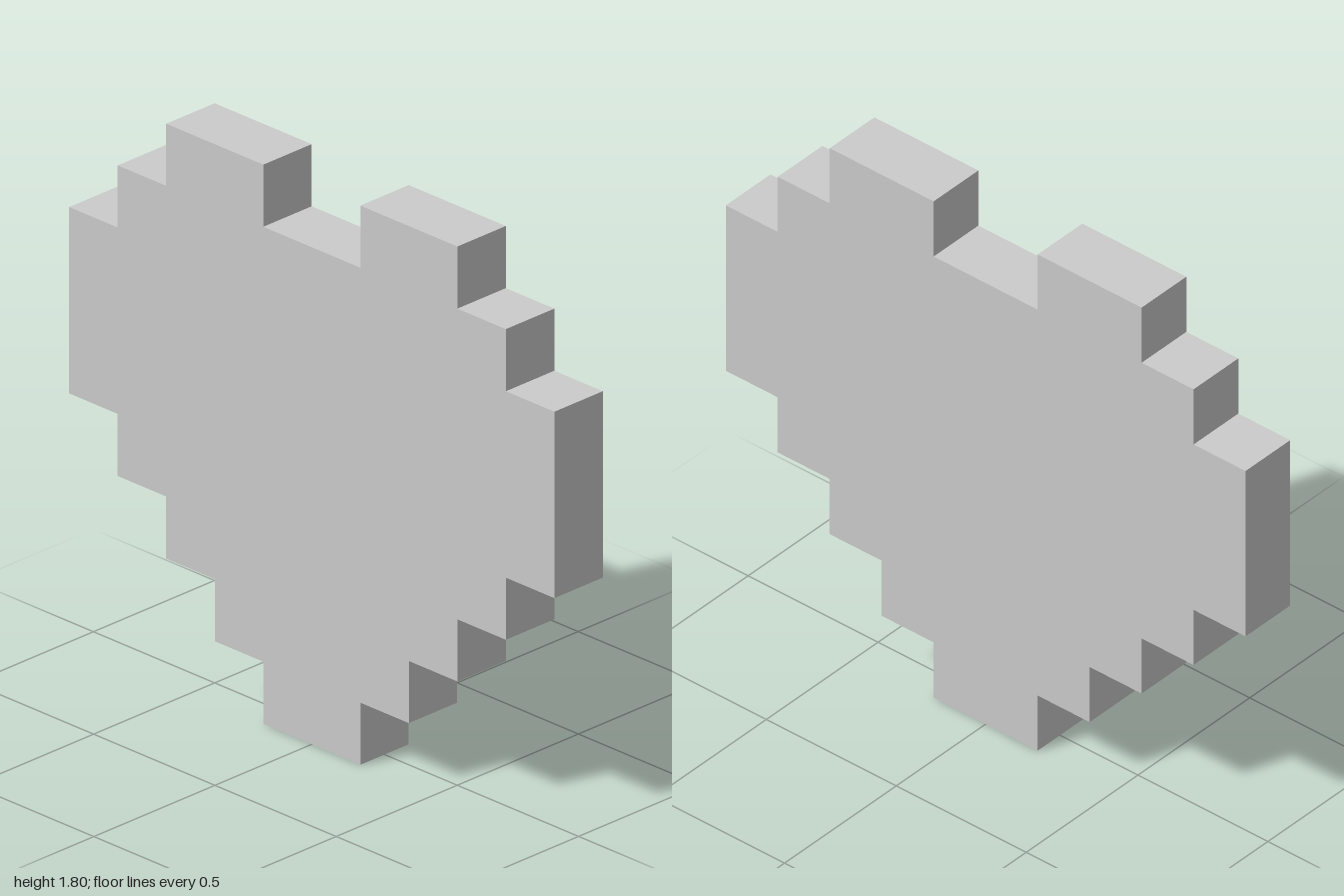
import * as THREE from 'three';

const STEP = 0.2; // size of one pixel, also the thickness

// Right half of the stepped outline, in pixels, from bottom centre to top notch
const HALF = [
  [1, 0], [1, 1], [2, 1], [2, 2], [3, 2], [3, 3], [4, 3], [4, 4], [5, 4],
  [5, 7], [4, 7], [4, 8], [3, 8], [3, 9], [1, 9], [1, 8],
];

export function createModel() {
  const group = new THREE.Group();
  group.name = 'pixelHeart';

  // Mirror the half outline to close the heart
  const mirrored = HALF.map(([x, y]) => [-x, y]).reverse();
  const outline = [...HALF, ...mirrored].map(([x, y]) => new THREE.Vector2(x * STEP, y * STEP));

  // Flat slab centred on z = 0
  const geometry = new THREE.ExtrudeGeometry(new THREE.Shape(outline), {
    depth: STEP,
    bevelEnabled: false,
  });
  geometry.translate(0, 0, -STEP / 2);

  const material = new THREE.MeshStandardMaterial({ color: 0xcccccc, flatShading: true });
  const heart = new THREE.Mesh(geometry, material);
  heart.name = 'heart';
  group.add(heart);

  return group;
}
